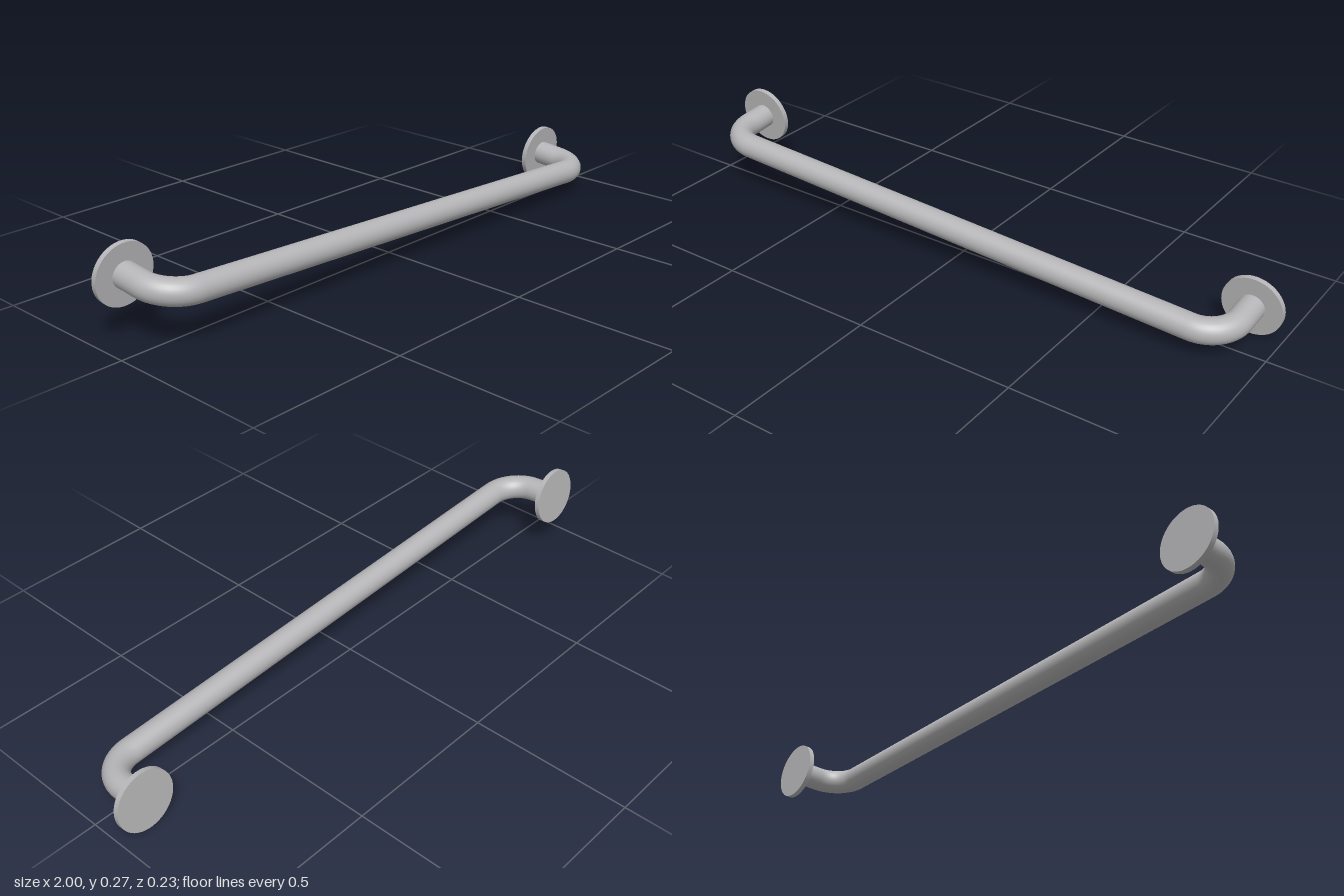
import * as THREE from 'three';

const HALF = 0.907;    // half distance between the two mounts
const REACH = 0.18;    // bar distance from the flanges
const BEND = 0.1;      // bend radius of the pipe centre line
const PIPE = 0.039;    // pipe radius

export function createModel() {
  const model = new THREE.Group();
  model.name = 'grabRail';
  const metal = new THREE.MeshStandardMaterial({ color: 0xb5b5b7 });
  metal.name = 'brushed metal';

  // The rail slopes down to its left and tips slightly forward
  const rail = new THREE.Group();
  rail.name = 'rail';
  rail.rotation.set(0.092, 0, -0.0497, 'ZYX');
  rail.position.set(0, 0.1385, -0.1005);
  model.add(rail);

  // Pipe: leg, rounded bend, long bar, rounded bend, leg
  const v = (x, z) => new THREE.Vector3(x, 0, z);
  const k = BEND * (1 - 0.5523);
  const path = new THREE.CurvePath();
  path.add(new THREE.LineCurve3(v(-HALF, 0), v(-HALF, REACH - BEND)));
  path.add(new THREE.CubicBezierCurve3(
    v(-HALF, REACH - BEND), v(-HALF, REACH - k), v(-HALF + k, REACH), v(-HALF + BEND, REACH)));
  path.add(new THREE.LineCurve3(v(-HALF + BEND, REACH), v(HALF - BEND, REACH)));
  path.add(new THREE.CubicBezierCurve3(
    v(HALF - BEND, REACH), v(HALF - k, REACH), v(HALF, REACH - k), v(HALF, REACH - BEND)));
  path.add(new THREE.LineCurve3(v(HALF, REACH - BEND), v(HALF, 0)));
  const pipe = new THREE.Mesh(new THREE.TubeGeometry(path, 200, PIPE, 32), metal);
  pipe.name = 'pipe';
  rail.add(pipe);

  // Round wall flanges
  for (const side of [-1, 1]) {
    const flange = new THREE.Mesh(new THREE.CylinderGeometry(0.092, 0.092, 0.016, 48), metal);
    flange.name = side > 0 ? 'leftFlange' : 'rightFlange';
    flange.rotation.x = Math.PI / 2;
    flange.position.x = side * HALF;
    rail.add(flange);
  }
  return model;
}
